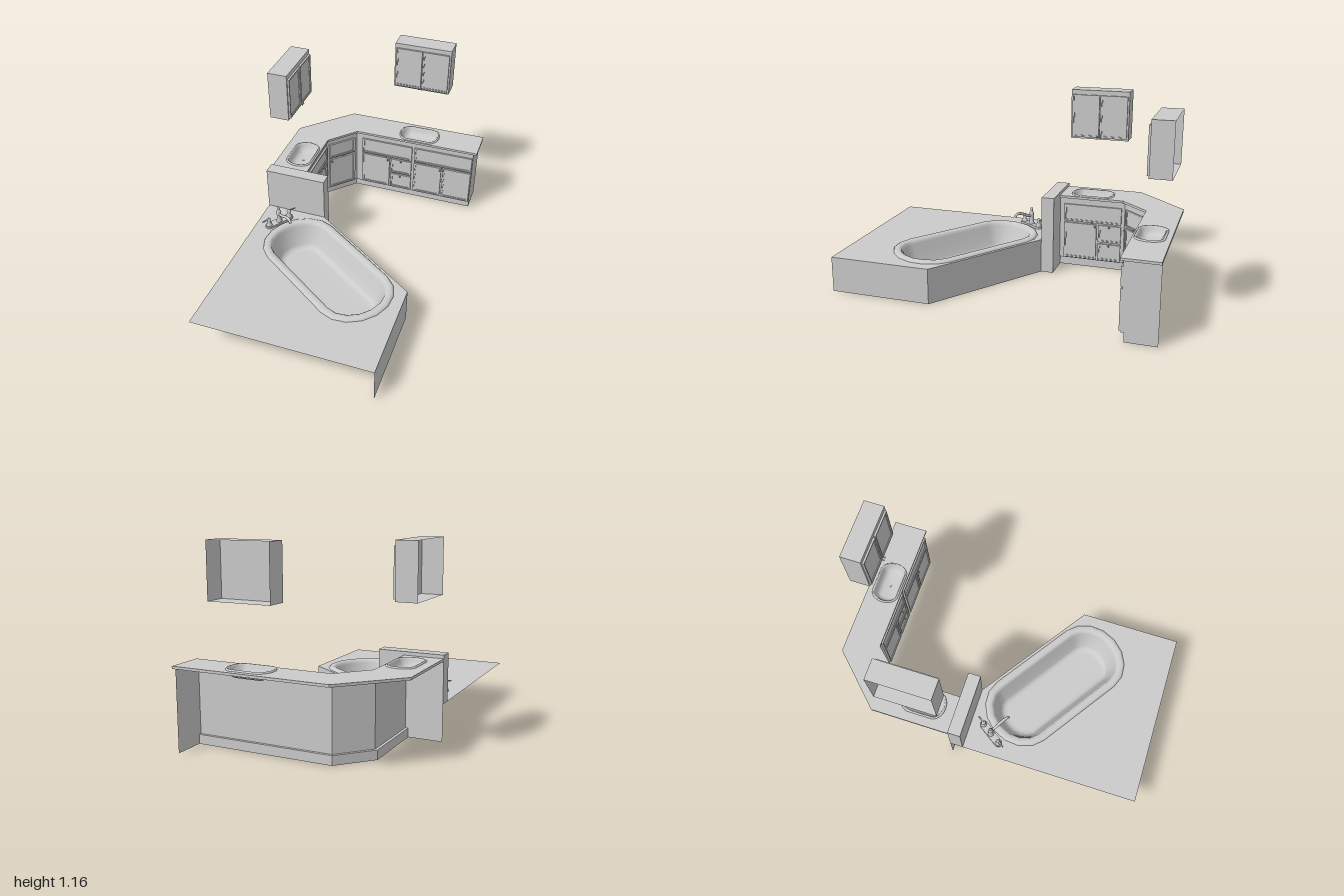
import * as THREE from 'three';

const mat = new THREE.MeshStandardMaterial({ color: 0xcccccc, side: THREE.DoubleSide });

function add(parent, geo, name, x = 0, y = 0, z = 0) {
  const m = new THREE.Mesh(geo, mat);
  m.name = name;
  m.position.set(x, y, z);
  parent.add(m);
  return m;
}

function group(parent, name, x = 0, z = 0, turn = 0) {
  const g = new THREE.Group();
  g.name = name;
  g.position.set(x, 0, z);
  g.rotation.y = turn;
  parent.add(g);
  return g;
}

// Upright sheet between two floor points [x, z]
function wall(parent, name, p, q, y0, y1) {
  const dx = q[0] - p[0], dz = q[1] - p[1];
  const m = add(parent, new THREE.PlaneGeometry(Math.hypot(dx, dz), y1 - y0), name,
    (p[0] + q[0]) / 2, (y0 + y1) / 2, (p[1] + q[1]) / 2);
  m.rotation.y = Math.atan2(-dz, dx);
}

// Level sheet or slab from floor points [x, z], with holes
function slab(parent, name, pts, y, depth = 0, holes = []) {
  const toV = ([x, z]) => new THREE.Vector2(x, -z);
  const shape = new THREE.Shape(pts.map(toV));
  shape.holes = holes.map(h => new THREE.Path(h.map(toV)));
  const geo = depth ? new THREE.ExtrudeGeometry(shape, { depth, bevelEnabled: false })
    : new THREE.ShapeGeometry(shape);
  geo.rotateX(-Math.PI / 2);
  add(parent, geo, name, 0, y, 0);
}

// Long basin outline: straight sides (half length s) with elliptical ends
function outline(a, b, s, seg) {
  const pts = [];
  for (const side of [1, -1]) {
    for (let i = 0; i <= seg; i++) {
      const t = -Math.PI / 2 + Math.PI * i / seg;
      pts.push([side * (s + (a - s) * Math.cos(t)), side * b * Math.sin(t)]);
    }
  }
  return pts;
}

// Outline in a group's frame, moved to the model's frame
function placed(pts, g) {
  const c = Math.cos(g.rotation.y), s = Math.sin(g.rotation.y);
  return pts.map(([x, z]) => [g.position.x + x * c + z * s, g.position.z - x * s + z * c]);
}

// Basin skinned over rings of [inset, y], closed at the bottom
function basin(a, b, s, seg, rings) {
  const pos = [], idx = [], n = 2 * (seg + 1);
  for (const [d, y] of rings) {
    for (const [x, z] of outline(a - d, b - d, s, seg)) pos.push(x, y, z);
  }
  const last = (rings.length - 1) * n, centre = rings.length * n;
  pos.push(0, rings[rings.length - 1][1], 0);
  for (let i = 0; i < n; i++) {
    const j = (i + 1) % n;
    for (let r = 0; r < last; r += n) idx.push(r + i, r + n + i, r + j, r + j, r + n + i, r + n + j);
    idx.push(last + i, centre, last + j);
  }
  const geo = new THREE.BufferGeometry();
  geo.setAttribute('position', new THREE.Float32BufferAttribute(pos, 3));
  geo.setIndex(idx);
  geo.computeVertexNormals();
  return geo;
}

function lathe(pts, seg = 16) {
  return new THREE.LatheGeometry(pts.map(p => new THREE.Vector2(...p)), seg);
}

// Framed door or drawer front on the plane z = 0, with a knob at kx, ky
function panel(parent, name, x0, x1, y0, y1, kx, ky) {
  const w = x1 - x0, h = y1 - y0, g = group(parent, name, (x0 + x1) / 2, 0);
  g.position.y = (y0 + y1) / 2;
  const rect = (P, i) => new P([[-1, -1], [1, -1], [1, 1], [-1, 1]]
    .map(([u, v]) => new THREE.Vector2(u * (w / 2 - i), v * (h / 2 - i))));
  const frame = (i, border, depth) => {
    const s = rect(THREE.Shape, i);
    s.holes.push(rect(THREE.Path, i + border));
    return new THREE.ExtrudeGeometry(s, { depth, bevelEnabled: false });
  };
  add(g, frame(0, 0.009, 0.012), 'frame');
  add(g, frame(0.009, 0.005, 0.008), 'innerMoulding');
  add(g, new THREE.BoxGeometry(w - 0.028, h - 0.028, 0.005), 'inset', 0, 0, 0.0025);
  const k = add(g, lathe([[0.003, 0], [0.0025, 0.008], [0.006, 0.011], [0.006, 0.014], [0, 0.017]], 8),
    'knob', kx - g.position.x, ky - g.position.y, 0.011);
  k.rotation.x = Math.PI / 2;
}

// Wall cupboard, open at the back; front on local z = 0, starting at local x = 0
function wallCupboard(parent, name, x, z, turn) {
  const g = group(parent, name, x, z, turn), w = 0.375, d = -0.125, y0 = 0.845, y1 = 1.16;
  wall(g, 'front', [0, 0], [w, 0], y0, y1);
  wall(g, 'side', [0, d], [0, 0], y0, y1);
  wall(g, 'side', [w, 0], [w, d], y0, y1);
  for (const y of [y0, y1]) slab(g, 'shelf', [[0, d], [w, d], [w, 0], [0, 0]], y);
  panel(g, 'door', 0.01, 0.185, 0.856, 1.13, 0.178, 0.863);
  panel(g, 'door', 0.19, 0.365, 0.856, 1.13, 0.197, 0.863);
}

export function createModel() {
  const root = new THREE.Group();
  root.name = 'bathroom';

  // Sinks and worktop
  const sinks = [group(root, 'sink', 0.197, -0.882), group(root, 'sink', -0.482, -0.4, Math.PI / 2)];
  for (const g of sinks) {
    add(g, basin(0.14, 0.0875, 0.075, 12, [[0, 0.482], [0.002, 0.488], [0.007, 0.491], [0.012, 0.489],
      [0.016, 0.48], [0.022, 0.462], [0.033, 0.445], [0.05, 0.436]]), 'bowl');
    add(g, new THREE.CylinderGeometry(0.008, 0.008, 0.003, 12), 'drain', 0, 0.437, 0);
  }
  slab(root, 'worktop', [[-0.625, -0.2], [-0.625, -0.69], [-0.325, -1], [0.622, -1], [0.622, -0.785],
    [-0.227, -0.785], [-0.385, -0.612], [-0.385, -0.2]], 0.467, 0.015,
  sinks.map(g => placed(outline(0.128, 0.0755, 0.075, 12), g)));

  // Base cupboards: front sheets over a recessed toe kick, open at the back
  const face = [[-0.4, -0.2], [-0.4, -0.625], [-0.235, -0.8], [0.598, -0.8]];
  const toe = [[-0.417, -0.2], [-0.417, -0.632], [-0.242, -0.817], [0.598, -0.817]];
  for (let i = 0; i < 3; i++) {
    wall(root, 'cupboardFront', face[i], face[i + 1], 0.055, 0.467);
    wall(root, 'toeKick', toe[i], toe[i + 1], 0, 0.055);
  }
  slab(root, 'toeLedge', [...face, ...toe.slice().reverse()], 0.055);
  wall(root, 'endPanel', [0.598, -0.8], [0.598, -1], 0.055, 0.467);
  wall(root, 'endPanelFoot', [0.598, -0.817], [0.598, -1], 0, 0.055);

  const top = (g, x0, x1) => panel(g, 'topPanel', x0, x1, 0.313, 0.427, (x0 + x1) / 2, 0.319);
  const door = (g, x0, x1, kx) => panel(g, 'door', x0, x1, 0.062, 0.302, kx, 0.292);
  const drawers = (g, x0, x1) => {
    for (const [y0, y1] of [[0.062, 0.175], [0.187, 0.302]]) {
      panel(g, 'drawer', x0, x1, y0, y1, (x0 + x1) / 2, y1 - 0.006);
    }
  };

  const back = group(root, 'backFronts', 0, -0.8);
  top(back, -0.19, 0.172);
  door(back, -0.19, 0.012, 0.003);
  drawers(back, 0.022, 0.172);
  top(back, 0.19, 0.594);
  door(back, 0.19, 0.387, 0.38);
  door(back, 0.397, 0.594, 0.404);

  const side = group(root, 'sideFronts', -0.4, 0, Math.PI / 2);
  top(side, 0.23, 0.605);
  door(side, 0.23, 0.445, 0.437);
  drawers(side, 0.457, 0.605);

  const corner = group(root, 'cornerFronts', -0.4, -0.625, Math.atan2(0.175, 0.165));
  top(corner, 0.02, 0.22);
  door(corner, 0.02, 0.22, 0.03);

  // Wall cupboards
  wallCupboard(root, 'backWallCupboard', 0, -0.875, 0);
  wallCupboard(root, 'sideWallCupboard', -0.5, -0.235, Math.PI / 2);

  // Half-height divider
  const [dx0, dx1, dz0, dz1] = [-0.625, -0.23, -0.2, -0.12];
  wall(root, 'dividerBack', [dx1, dz0], [dx0, dz0], 0, 0.503);
  wall(root, 'dividerEnd', [dx1, dz1], [dx1, dz0], 0, 0.503);
  wall(root, 'dividerFront', [dx0, dz1], [dx1, dz1], 0.22, 0.503);
  wall(root, 'dividerOuterEnd', [dx0, dz0], [dx0, dz1], 0.22, 0.503);
  slab(root, 'dividerTop', [[dx0, dz0], [dx1, dz0], [dx1, dz1], [dx0, dz1]], 0.503);

  // Bathtub, set at an angle in its deck
  const tub = group(root, 'bathtub', -0.05, 0.32, -0.602);
  add(tub, basin(0.5, 0.244, 0.29, 8, [[0, 0.22], [0.004, 0.229], [0.016, 0.235], [0.038, 0.234], [0.05, 0.226],
    [0.056, 0.21], [0.075, 0.15], [0.098, 0.09], [0.108, 0.074], [0.125, 0.066], [0.145, 0.064]]), 'tubShell');
  slab(root, 'tubDeck', [[-0.625, dz1], [dx1, dz1], [0.476, 0.365], [0.476, 1], [-0.625, 1]], 0.22, 0,
    [placed(outline(0.455, 0.199, 0.29, 8), tub)]);
  wall(root, 'tubSkirt', [0.476, 0.365], [dx1, dz1], 0, 0.22);
  wall(root, 'tubSkirt', [0.476, 1], [0.476, 0.365], 0, 0.22);

  // Tub tap: base plate, column, spout and two lever handles
  const tap = group(tub, 'tap', -0.53, 0.005);
  tap.position.y = 0.22;
  const plate = new THREE.Shape(outline(0.1, 0.025, 0.075, 8).map(p => new THREE.Vector2(...p)));
  const plateMesh = add(tap, new THREE.ExtrudeGeometry(plate, { depth: 0.014, bevelEnabled: false }), 'basePlate');
  plateMesh.rotation.set(-Math.PI / 2, 0, Math.PI / 2);
  add(tap, lathe([[0.02, 0.014], [0.016, 0.03], [0.014, 0.06], [0.016, 0.09], [0.011, 0.098],
    [0.006, 0.106], [0.009, 0.115], [0.008, 0.124], [0, 0.127]]), 'column');
  const curve = new THREE.CatmullRomCurve3([[0, 0.07], [0.035, 0.077], [0.07, 0.093], [0.105, 0.104],
    [0.13, 0.101], [0.141, 0.084]].map(([x, y]) => new THREE.Vector3(x, y, 0)));
  add(tap, new THREE.TubeGeometry(curve, 20, 0.009, 10), 'spout');
  for (const s of [-1, 1]) {
    add(tap, lathe([[0.019, 0.014], [0.017, 0.024], [0.011, 0.035], [0.011, 0.05], [0.014, 0.056],
      [0.009, 0.067], [0, 0.07]]), 'handle', 0, 0, s * 0.075);
    const lever = add(tap, new THREE.CylinderGeometry(0.0065, 0.004, 0.05, 8), 'lever', 0, 0.061, s * 0.1);
    lever.rotation.x = -s * Math.PI / 2 * 0.95;
  }
  return root;
}
